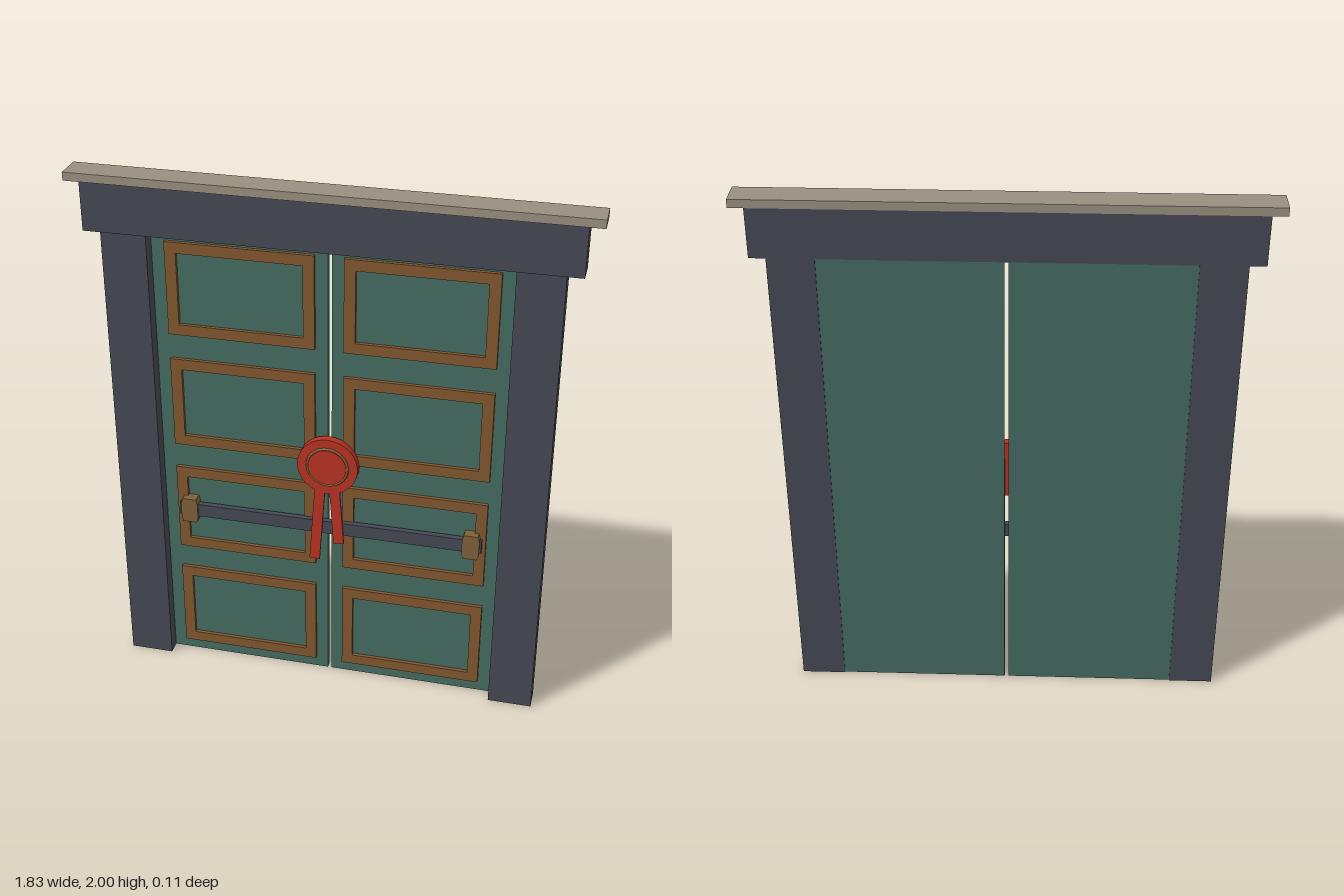
import * as THREE from 'three';

const mat = (name, color) => Object.assign(new THREE.MeshStandardMaterial({ color }), { name });

export function createModel() {
  const slate = mat('slate', 0x464954);
  const green = mat('door green', 0x456c62);
  const trim = mat('trim brown', 0x82562f);
  const bronze = mat('bronze', 0x80603a);
  const red = mat('seal red', 0xb73222);
  const stone = mat('cap stone', 0x999080);

  const model = new THREE.Group();
  model.name = 'sealedDoor';

  const add = (name, geometry, material) => {
    const mesh = new THREE.Mesh(geometry, material);
    mesh.name = name;
    model.add(mesh);
    return mesh;
  };
  // Box given by its limits on each axis
  const box = (name, material, x0, x1, y0, y1, z0, z1) => {
    const mesh = add(name, new THREE.BoxGeometry(x1 - x0, y1 - y0, z1 - z0), material);
    mesh.position.set((x0 + x1) / 2, (y0 + y1) / 2, (z0 + z1) / 2);
    return mesh;
  };

  // Lintel and cap
  box('lintel', slate, -0.86, 0.86, 1.79, 1.97, -0.05, 0.043);
  box('cap', stone, -0.913, 0.913, 1.97, 2, -0.053, 0.053);

  // Rectangular moulding with an open middle
  const w = 0.268, h = 0.177, bar = 0.041;
  const rect = (path, a, b) =>
    path.moveTo(-a, -b).lineTo(a, -b).lineTo(a, b).lineTo(-a, b).closePath();
  const frame = rect(new THREE.Shape(), w, h);
  frame.holes.push(rect(new THREE.Path(), w - bar, h - bar));
  const frameGeo = new THREE.ExtrudeGeometry(frame, { depth: 0.016, bevelEnabled: false });

  // Chamfered bracket holding the bar
  const clamp = new THREE.Shape([
    [-0.026, -0.05], [0.026, -0.05], [0.032, -0.03], [0.032, 0.03],
    [0.026, 0.05], [-0.026, 0.05], [-0.032, 0.03], [-0.032, -0.03],
  ].map(([x, y]) => new THREE.Vector2(x, y)));
  const clampGeo = new THREE.ExtrudeGeometry(clamp, { depth: 0.04, bevelEnabled: false });

  for (const s of [-1, 1]) {
    const side = s > 0 ? 'left' : 'right';
    const span = (a, b) => (s > 0 ? [a, b] : [-b, -a]);
    box(side + 'Post', slate, ...span(0.638, 0.802), 0, 1.79, -0.05, 0.029);
    box(side + 'DoorLeaf', green, ...span(0.007, 0.638), 0, 1.79, -0.046, -0.024);
    for (let i = 0; i < 4; i++) {
      add(side + 'PanelMoulding' + (i + 1), frameGeo, trim)
        .position.set(s * 0.32, 0.223 + i * 0.4517, -0.026);
    }
    add(side + 'BarBracket', clampGeo, bronze).position.set(s * 0.536, 0.678, -0.024);
  }

  // Locking bar
  box('lockingBar', slate, -0.575, 0.575, 0.653, 0.705, -0.014, 0.008);

  // Wax seal: disc, bronze ring and raised centre
  const disc = (name, r, depth, z) => {
    const mesh = add(name, new THREE.CylinderGeometry(r, r, depth, 32), red);
    mesh.rotation.x = Math.PI / 2;
    mesh.position.set(0, 0.946, z);
  };
  disc('sealDisc', 0.113, 0.03, 0.002);
  disc('sealCentre', 0.071, 0.006, 0.019);
  add('sealRing', new THREE.TorusGeometry(0.075, 0.005, 6, 40), bronze)
    .position.set(0, 0.946, 0.018);

  // Ribbons hanging from the seal
  const ribbon = (name, x0, y0, x1, y1) => {
    const mesh = add(name, new THREE.BoxGeometry(0.039, Math.hypot(x1 - x0, y1 - y0), 0.008), red);
    mesh.position.set((x0 + x1) / 2, (y0 + y1) / 2, 0.013);
    mesh.rotation.z = Math.atan2(x1 - x0, y0 - y1);
  };
  ribbon('longRibbon', -0.026, 0.88, -0.049, 0.54);
  ribbon('shortRibbon', 0.025, 0.88, 0.043, 0.62);

  return model;
}
